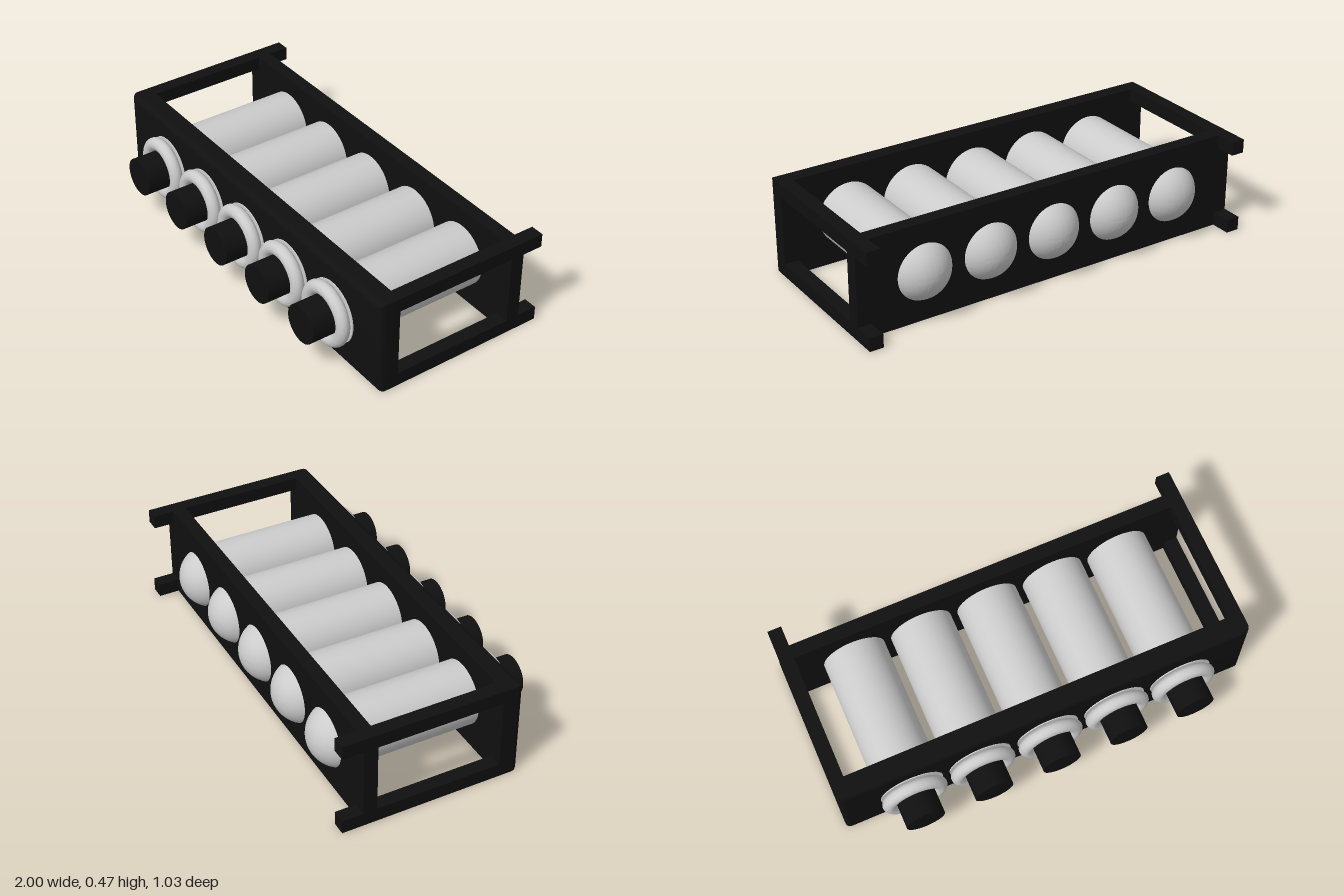
import * as THREE from 'three';
import { toCreasedNormals } from 'three/addons/utils/BufferGeometryUtils.js';

const grey = new THREE.MeshStandardMaterial({ color: 0xcccccc });
const black = new THREE.MeshStandardMaterial({ color: 0x101010 });

const HEIGHT = 0.467;
const AXIS_Y = HEIGHT / 2;
const RADIUS = 0.15;

function add(parent, name, geometry, material, x = 0, y = 0, z = 0) {
  const mesh = new THREE.Mesh(geometry, material);
  mesh.name = name;
  mesh.position.set(x, y, z);
  parent.add(mesh);
  return mesh;
}

// Panel whose four front edges are rounded while the back edges stay square
function roundedFrontPanel(width, height, depth, radius) {
  const steps = 8;
  const geometry = new THREE.BoxGeometry(width, height, depth, 1, 1, steps + 1);
  const pos = geometry.attributes.position;
  for (let i = 0; i < pos.count; i++) {
    const layer = Math.round((pos.getZ(i) / depth + 0.5) * (steps + 1));
    if (layer === 0) continue;
    const a = ((layer - 1) / steps) * Math.PI / 2;
    const inset = radius * (1 - Math.cos(a));
    pos.setXYZ(i,
      pos.getX(i) - Math.sign(pos.getX(i)) * inset,
      pos.getY(i) - Math.sign(pos.getY(i)) * inset,
      depth / 2 - radius * (1 - Math.sin(a)));
  }
  return toCreasedNormals(geometry, 0.6);
}

// Tube profile: round bottom, straight wall, rolled lip, then inner wall
function tubeGeometry() {
  const points = [];
  for (let i = 0; i <= 14; i++) {
    const a = (i / 14) * Math.PI / 2;
    points.push(new THREE.Vector2(RADIUS * Math.sin(a), -0.35 - RADIUS * Math.cos(a)));
  }
  points.push(new THREE.Vector2(RADIUS, 0.355));
  // Lip: rounded outer and inner shoulders
  for (let i = 0; i <= 16; i++) {
    const a = -Math.PI / 2 + (i / 16) * Math.PI * 1.5;
    points.push(new THREE.Vector2(0.124 + 0.032 * Math.cos(a), 0.386 + 0.031 * Math.sin(a)));
  }
  points.push(new THREE.Vector2(0.092, 0.3));
  const geometry = new THREE.LatheGeometry(points, 48);
  geometry.rotateX(Math.PI / 2);
  return toCreasedNormals(geometry, 0.7);
}

export function createModel() {
  const model = new THREE.Group();
  model.name = 'tubeRack';

  // Rack: front and back panels joined by four corner rails
  const frame = new THREE.Group();
  frame.name = 'frame';
  model.add(frame);
  add(frame, 'frontPanel', roundedFrontPanel(2, HEIGHT, 0.1, 0.033), black, 0, AXIS_Y, 0.3);
  add(frame, 'backPanel', new THREE.BoxGeometry(2, HEIGHT, 0.066), black, 0, AXIS_Y, -0.383);

  const railSize = 0.066;
  const railGeometry = new THREE.BoxGeometry(railSize, railSize, 0.767);
  for (const side of [-1, 1]) {
    for (const level of [-1, 1]) {
      const name = (level > 0 ? 'upper' : 'lower') + (side > 0 ? 'Left' : 'Right') + 'Rail';
      add(frame, name, railGeometry, black,
        side * (1 - railSize / 2), AXIS_Y + level * (HEIGHT - railSize) / 2, -0.1325);
    }
  }

  // Five tubes lying front to back, each with a stopper
  const tube = tubeGeometry();
  const stopper = new THREE.CylinderGeometry(0.092, 0.092, 0.215, 40).rotateX(Math.PI / 2);
  for (let i = 0; i < 5; i++) {
    const unit = new THREE.Group();
    unit.name = 'tubeUnit' + (i + 1);
    unit.position.set((i - 2) / 3, AXIS_Y, 0);
    model.add(unit);
    add(unit, 'tube', tube, grey);
    add(unit, 'stopper', stopper, black, 0, 0, 0.4085);
  }

  return model;
}
